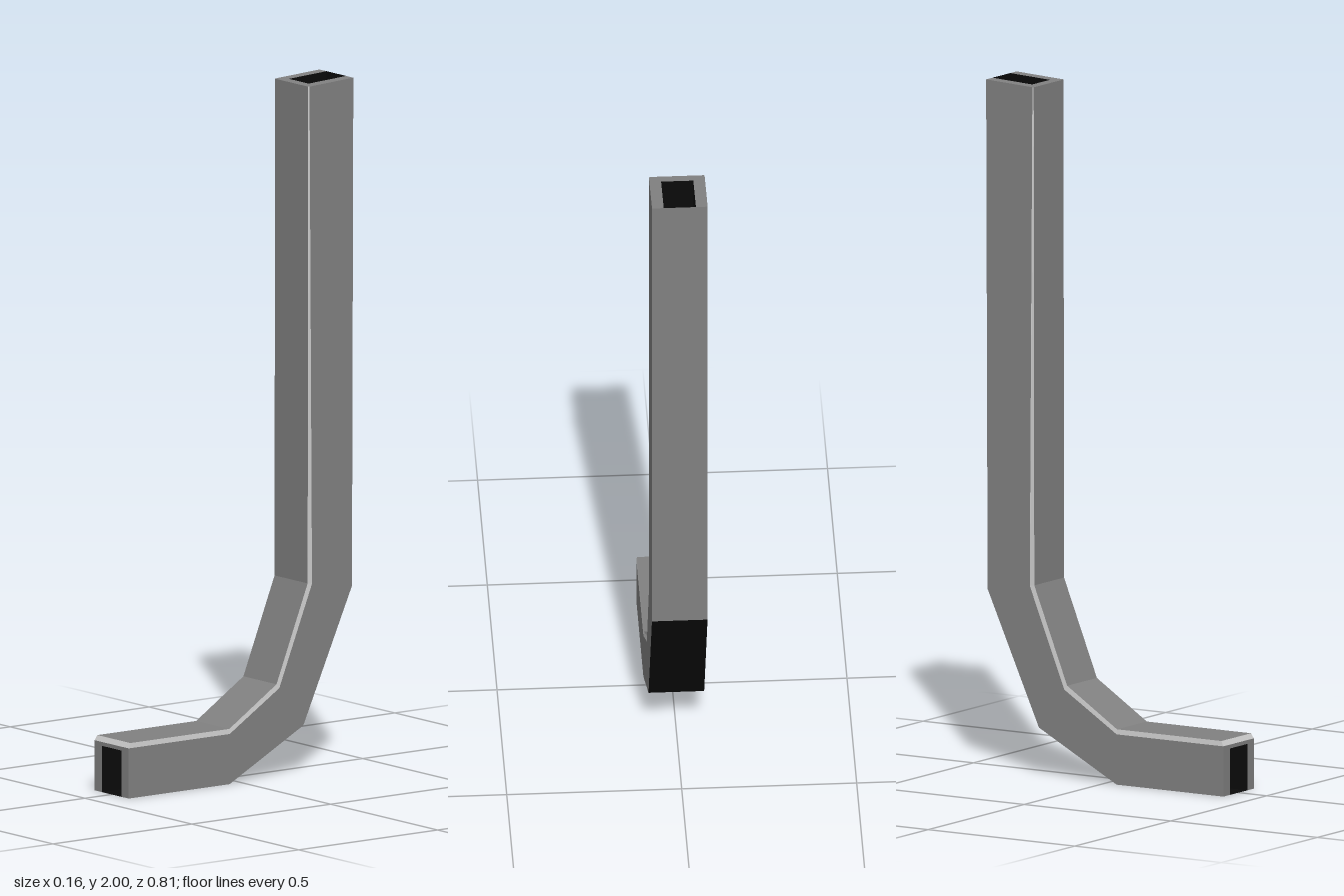
import * as THREE from 'three';

const GREY = 0x818181, LIGHT = 0xcccccc, BLACK = 0x0a0a0a;

// Stations along the bent channel: [outer z, outer y, inner z, inner y]
const stations = [
  [0.404, 0, 0.404, 0.16],
  [0.04, 0, 0.04, 0.16],
  [-0.225, 0.14, -0.13, 0.27],
  [-0.4, 0.525, -0.242, 0.55],
  [-0.405, 2, -0.244, 1.992],
];

// U-shaped cross-section with two small bevels: [x, fraction from outer to inner side]
const section = [
  [-0.0795, 0], [-0.0795, 0.91], [-0.0775, 1], [0.0775, 1], [0.0795, 0.91],
  [0.0795, 0], [0.046, 0], [0.046, 0.84], [-0.046, 0.84], [-0.046, 0],
];

function point(i, k) {
  const [z0, y0, z1, y1] = stations[i];
  const x = section[k][0];
  let v = section[k][1];
  if (i === 4 && v === 0.91) v = 0.98; // side bevel fades out at the top
  const setback = i === 0 && v === 1 ? 0.008 : 0; // front bevel of the foot
  return [x, y0 + (y1 - y0) * v, z0 + (z1 - z0) * v - setback];
}

function quadMesh(name, quads, color, side = THREE.FrontSide) {
  const pos = [];
  for (const [a, b, c, d] of quads) pos.push(...a, ...b, ...c, ...a, ...c, ...d);
  const geometry = new THREE.BufferGeometry();
  geometry.setAttribute('position', new THREE.Float32BufferAttribute(pos, 3));
  geometry.computeVertexNormals();
  const mesh = new THREE.Mesh(geometry, new THREE.MeshStandardMaterial({ color, side }));
  mesh.name = name;
  return mesh;
}

export function createModel() {
  const group = new THREE.Group();
  group.name = 'bentChannel';
  const span = (i, k, n) => [point(i, k), point(i, n), point(i + 1, n), point(i + 1, k)];
  const shell = [], bevels = [], lining = [], backPlate = [], blackPlates = [];

  for (let i = 0; i < stations.length - 1; i++) {
    for (const k of [0, 2, 4]) shell.push(span(i, k, k + 1)); // outer walls
    for (const k of [1, 3]) bevels.push(span(i, k, k + 1));
    for (let k = 6; k < 9; k++) lining.push(span(i, k, k + 1)); // inside of the channel
    if (i === 0) { // grey strips beside the black sole
      shell.push(span(i, 5, 6), span(i, 9, 0));
      blackPlates.push(span(i, 6, 9));
    } else (i === 3 ? backPlate : blackPlates).push(span(i, 5, 0));
  }

  // Rims around the two open ends
  for (const loop of [[0, 1, 8, 9], [1, 4, 7, 8], [4, 5, 6, 7]]) {
    shell.push(loop.map((k) => point(4, k)));
    shell.push(loop.map((k) => point(0, k)).reverse());
  }
  const edge = [1, 2, 3, 4];
  shell.push(edge.map((k) => point(4, k)));
  bevels.push(edge.map((k) => point(0, k)).reverse());

  group.add(quadMesh('shell', shell, GREY));
  group.add(quadMesh('bevels', bevels, LIGHT));
  group.add(quadMesh('lining', lining, BLACK, THREE.DoubleSide));
  group.add(quadMesh('soleAndBendPlates', blackPlates, BLACK, THREE.DoubleSide));
  group.add(quadMesh('backPlate', backPlate, GREY));
  group.add(quadMesh('backPlateLining', backPlate, BLACK, THREE.BackSide));
  return group;
}
